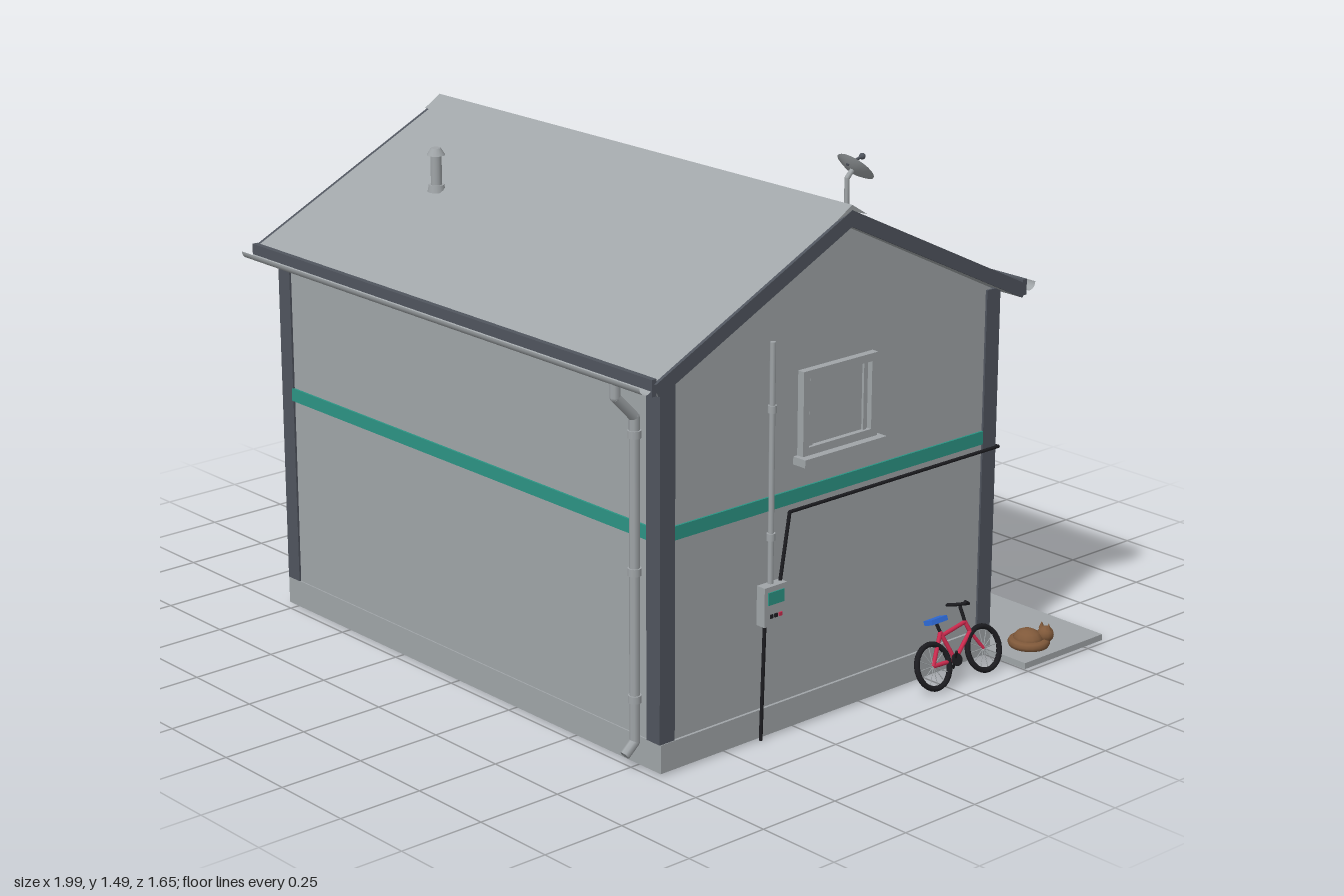
import * as THREE from 'three';

const mat = (name, color) => { const m = new THREE.MeshStandardMaterial({ color, side: THREE.DoubleSide }); m.name = name; return m; };
const GRAY = mat('paleGray', 0xa0a5a8), SLATE = mat('slate', 0x50555e), TEAL = mat('teal', 0x2c9484),
  YELLOW = mat('yellow', 0xe0a81e), NAVY = mat('navy', 0x323a66), BLUE = mat('blue', 0x2f6bd8),
  RED = mat('crimson', 0xcc2a4e), BROWN = mat('brown', 0x80593a), BLACK = mat('black', 0x1c1c20),
  GREEN = mat('leafGreen', 0x3f8048);
const RAINBOW = [RED, YELLOW, TEAL, BLUE];
const V = (x, y, z) => new THREE.Vector3(x, y, z);

function add(parent, name, geo, m, x = 0, y = 0, z = 0) {
  const mesh = new THREE.Mesh(geo, m);
  mesh.name = name;
  mesh.position.set(x, y, z);
  parent.add(mesh);
  return mesh;
}
// box given by its limits on each axis
const box = (p, name, m, x0, x1, y0, y1, z0, z1) =>
  add(p, name, new THREE.BoxGeometry(x1 - x0, y1 - y0, z1 - z0), m, (x0 + x1) / 2, (y0 + y1) / 2, (z0 + z1) / 2);
const ball = (p, name, m, r, x, y, z, sx = 1, sy = 1, sz = 1) => {
  const b = add(p, name, new THREE.SphereGeometry(r, 12, 8), m, x, y, z);
  b.scale.set(sx, sy, sz);
  return b;
};
const cyl = (p, name, m, rt, rb, h, x, y, z, n = 14) => add(p, name, new THREE.CylinderGeometry(rt, rb, h, n), m, x, y, z);
// round pipe through corner points
function pipe(p, name, m, r, pts) {
  const path = new THREE.CurvePath();
  for (let i = 1; i < pts.length; i++) path.add(new THREE.LineCurve3(V(...pts[i - 1]), V(...pts[i])));
  for (let i = 1; i < pts.length; i++) {
    const a = V(...pts[i - 1]), b = V(...pts[i]);
    const c = add(p, name, new THREE.CylinderGeometry(r, r, a.distanceTo(b), 8), m);
    c.position.copy(a).lerp(b, 0.5);
    c.quaternion.setFromUnitVectors(V(0, 1, 0), b.sub(a).normalize());
    if (i > 1) add(p, name + 'Joint', new THREE.SphereGeometry(r, 8, 6), m, a.x, a.y, a.z);
  }
}
const group = (p, name, x = 0, y = 0, z = 0, ry = 0) => {
  const g = new THREE.Group();
  g.name = name; g.position.set(x, y, z); g.rotation.y = ry;
  p.add(g);
  return g;
};
// (z, y) profile extruded along x between x0 and x1
function prism(p, name, m, pts, x0, x1) {
  const geo = new THREE.ExtrudeGeometry(new THREE.Shape(pts.map(q => new THREE.Vector2(...q))), { depth: x1 - x0, bevelEnabled: false });
  geo.rotateY(-Math.PI / 2);
  return add(p, name, geo, m, x1, 0, 0);
}
// framed window facing local +z, bottom centre at the origin
function windowUnit(p, name, w, h, mullion) {
  const f = 0.022, g = p;
  box(g, name + 'Pane', GRAY, -w / 2, w / 2, 0, h, 0, 0.006);
  for (const s of [-1, 1]) {
    box(g, name + 'Jamb', GRAY, s * w / 2 - f / 2, s * w / 2 + f / 2, 0, h, 0, 0.022);
    box(g, name + 'SashSide', GRAY, s * (w / 2 - 0.026) - 0.006, s * (w / 2 - 0.026) + 0.006, 0.02, h - 0.02, 0, 0.013);
  }
  for (const y of [0, h - f]) box(g, name + 'Rail', GRAY, -w / 2, w / 2, y, y + f, 0, 0.022);
  if (mullion) box(g, name + 'Mullion', GRAY, -0.01, 0.01, 0, h, 0, 0.018);
  box(g, name + 'Sill', GRAY, -w / 2 - 0.025, w / 2 + 0.025, -0.022, 0, 0, 0.045);
}

function buildHouse(root) {
  const g = group(root, 'house');
  const X0 = -0.775, X1 = 0.835, ZB = -0.505, ZF = 0.725, ZR = 0.11;
  prism(g, 'walls', GRAY, [[ZB, 0.01], [ZF, 0.01], [ZF, 1.07], [ZR, 1.37], [ZB, 1.07]], X0, X1);
  box(g, 'plinth', GRAY, X0 - 0.008, X1 + 0.008, 0.01, 0.09, ZB - 0.008, ZF + 0.004);
  for (const x of [X0 + 0.02, X1 - 0.02]) for (const z of [ZB + 0.02, ZF - 0.02])
    box(g, 'cornerPost', SLATE, x - 0.026, x + 0.026, 0.09, 1.08, z - 0.026, z + 0.026);
  box(g, 'tealBand', TEAL, X0 + 0.04, X1 - 0.04, 0.64, 0.678, ZB - 0.006, ZF + 0.006);
  box(g, 'tealBandSide', TEAL, X0 - 0.006, X1 + 0.006, 0.64, 0.678, ZB + 0.04, ZF - 0.04);
  box(g, 'eaveBand', TEAL, X0 + 0.04, X1 - 0.04, 1.03, 1.06, ZB - 0.006, ZB + 0.01);
  // roof with dark verge boards
  const chevron = [[0.785, 1.088], [ZR, 1.414], [-0.565, 1.088], [-0.55, 1.052], [ZR, 1.37], [0.77, 1.052]];
  prism(g, 'roof', GRAY, chevron, -0.812, 0.877);
  for (const x of [-0.822, 0.877]) prism(g, 'vergeBoard', SLATE, chevron, x, x + 0.01);
  prism(g, 'ridgeCap', GRAY, [[0.165, 1.394], [ZR, 1.428], [0.055, 1.394], [ZR, 1.41]], -0.82, 0.885);
  // gutters and fascia
  for (const s of [-1, 1]) {
    const z = ZR + s * 0.675;
    box(g, 'fascia', SLATE, -0.815, 0.88, 1.055, 1.1, z - 0.008, z + 0.008);
    const gut = add(g, 'gutter', new THREE.CylinderGeometry(0.022, 0.022, 1.69, 12, 1, true, 0, Math.PI), GRAY, 0.032, 1.085, z + s * 0.024);
    gut.rotation.set(0, 0, -Math.PI / 2);
    gut.geometry.rotateY(0);
    const x = s > 0 ? 0.76 : -0.72, w = s > 0 ? ZF : ZB;
    pipe(g, 'downpipe', GRAY, 0.014, [[x, 1.07, z + s * 0.024], [x, 1.03, z + s * 0.024], [x, 0.965, w + s * 0.02], [x, 0.08, w + s * 0.02], [x, 0.05, w + s * 0.055]]);
    for (const y of [0.2, 0.55, 0.92]) cyl(g, 'pipeCollar', GRAY, 0.018, 0.018, 0.02, x, y, w + s * 0.02);
  }
  // windows
  windowUnit(group(g, 'gableWindow', X1, 0.768, ZR, Math.PI / 2), 'gableWindow', 0.25, 0.232, false);
  windowUnit(group(g, 'sideWindow', X0, 0.23, 0.24, -Math.PI / 2), 'sideWindow', 0.4, 0.33, true);
  windowUnit(group(g, 'lowerWindow', -0.42, 0.2, ZB, Math.PI), 'lowerWindow', 0.54, 0.38, true);
  const up = group(g, 'upperWindow', -0.08, 0.755, ZB, Math.PI);
  windowUnit(up, 'upperWindow', 0.38, 0.28, false);
  for (let i = 0; i < 11; i++) {
    const d = cyl(up, 'windowSticker', RAINBOW[i % 4], 0.009, 0.009, 0.003, -0.13 + (i * 0.107) % 0.27, 0.06 + (i * 0.067) % 0.17, 0.008, 6);
    d.rotation.x = Math.PI / 2;
  }
  // door
  const d = group(g, 'door', 0.17, 0.04, ZB, Math.PI);
  box(d, 'doorLeaf', YELLOW, -0.165, 0.165, 0, 0.55, 0, 0.018);
  for (const s of [-1, 1]) box(d, 'doorJamb', SLATE, s * 0.18 - 0.016, s * 0.18 + 0.016, 0, 0.58, 0, 0.026);
  box(d, 'doorHead', SLATE, -0.196, 0.196, 0.55, 0.58, 0, 0.026);
  for (const y of [0.1, 0.45]) box(d, 'hinge', SLATE, -0.165, -0.13, y, y + 0.025, 0.018, 0.024);
  box(d, 'doorHandle', SLATE, 0.09, 0.145, 0.27, 0.282, 0.018, 0.04);
  box(d, 'letterSlot', SLATE, -0.045, 0.045, 0.2, 0.222, 0.018, 0.024);
  ball(d, 'peephole', BLACK, 0.01, 0, 0.42, 0.02);
  // doorplate, tap and wall lamp
  box(g, 'doorplate', NAVY, 0.43, 0.515, 0.43, 0.52, ZB - 0.01, ZB);
  box(g, 'doorplateMark', GRAY, 0.45, 0.47, 0.45, 0.5, ZB - 0.013, ZB - 0.01);
  box(g, 'doorplateMark', GRAY, 0.48, 0.495, 0.46, 0.49, ZB - 0.013, ZB - 0.01);
  pipe(g, 'tap', GRAY, 0.007, [[0.72, 0.24, ZB], [0.72, 0.24, -0.525], [0.62, 0.24, -0.525], [0.62, 0.24, -0.55], [0.62, 0.19, -0.55]]);
  pipe(g, 'lampArm', BLACK, 0.005, [[0.19, 0.62, ZB], [0.19, 0.625, -0.54]]);
  cyl(g, 'lampShade', BLACK, 0.012, 0.034, 0.03, 0.19, 0.605, -0.54);
  // meter, conduit and cable
  box(g, 'meterBox', GRAY, X1, X1 + 0.03, 0.33, 0.44, 0.306, 0.386);
  box(g, 'meterScreen', TEAL, X1 + 0.03, X1 + 0.034, 0.39, 0.425, 0.318, 0.374);
  for (const z of [0.33, 0.346, 0.362]) box(g, 'meterButton', z > 0.34 ? BLACK : RED, X1 + 0.03, X1 + 0.034, 0.352, 0.362, z - 0.005, z + 0.005);
  pipe(g, 'conduit', GRAY, 0.008, [[X1 + 0.01, 0.44, 0.347], [X1 + 0.01, 1.1, 0.347]]);
  for (const y of [0.57, 0.92]) cyl(g, 'conduitCollar', GRAY, 0.012, 0.012, 0.02, X1 + 0.01, y, 0.347);
  pipe(g, 'cableUp', BLACK, 0.005, [[X1 + 0.01, 0.42, 0.315], [X1 + 0.01, 0.622, 0.28], [X1 + 0.01, 0.622, ZB - 0.012], [0.19, 0.622, ZB - 0.012]]);
  pipe(g, 'cableDown', BLACK, 0.005, [[X1 + 0.014, 0.33, 0.37], [X1 + 0.014, 0.005, 0.38]]);
}

function buildRoofItems(root) {
  // local -z runs down the back slope from the ridge
  const g = group(root, 'backSlopeItems', 0, 1.412, 0.11);
  g.rotation.x = -0.451;
  box(g, 'solarPanel', NAVY, -0.64, -0.14, 0.025, 0.037, -0.67, -0.355);
  for (const z of [-0.62, -0.41]) box(g, 'panelRail', GRAY, -0.63, -0.15, 0, 0.025, z - 0.008, z + 0.008);
  box(g, 'panelGridMid', SLATE, -0.392, -0.388, 0.037, 0.038, -0.67, -0.355);
  for (const x of [0.29, 0.44]) box(g, 'skylightSide', SLATE, x - 0.012, x + 0.012, 0, 0.04, -0.53, -0.38);
  for (const z of [-0.52, -0.39]) box(g, 'skylightEnd', SLATE, 0.28, 0.45, 0, 0.04, z - 0.012, z + 0.012);
  box(g, 'skylightGlass', GRAY, 0.3, 0.43, 0, 0.015, -0.51, -0.4);
  box(g, 'skylightShutter', GRAY, 0.268, 0.458, 0.022, 0.032, -0.375, -0.215);
  // flue on the front slope
  cyl(root, 'flue', GRAY, 0.016, 0.016, 0.13, -0.445, 1.3, 0.42);
  cyl(root, 'flueCap', GRAY, 0.014, 0.026, 0.02, -0.445, 1.375, 0.42);
  cyl(root, 'flueCollar', GRAY, 0.022, 0.026, 0.02, -0.445, 1.27, 0.42);
  // satellite dish
  pipe(root, 'dishMast', GRAY, 0.007, [[0.685, 1.31, -0.07], [0.685, 1.43, -0.07], [0.685, 1.45, -0.09]]);
  const dish = group(root, 'dish', 0.685, 1.445, -0.09);
  dish.rotation.x = -Math.PI / 4;
  add(dish, 'dishBowl', new THREE.LatheGeometry([[0, 0], [0.03, 0.004], [0.056, 0.016]].map(q => new THREE.Vector2(...q)), 24), GRAY);
  pipe(dish, 'dishArm', SLATE, 0.004, [[0, 0, 0.03], [0, 0.05, 0]]);
  ball(dish, 'dishReceiver', SLATE, 0.009, 0, 0.05, 0);
}

function buildClothesline(root) {
  const g = group(root, 'clothesline', -0.93);
  for (const z of [-0.36, 0.56]) {
    box(g, 'postFoot', GRAY, -0.03, 0.03, 0.01, 0.03, z - 0.026, z + 0.026);
    cyl(g, 'linePost', TEAL, 0.01, 0.01, 0.64, 0, 0.345, z);
    box(g, 'crossBar', TEAL, -0.064, 0.064, 0.66, 0.676, z - 0.008, z + 0.008);
    for (const s of [-1, 1]) pipe(g, 'brace', TEAL, 0.005, [[0, 0.6, z], [s * 0.045, 0.66, z]]);
  }
  for (const x of [-0.055, 0.045]) pipe(g, 'line', BLACK, 0.003, [[x, 0.675, -0.36], [x, 0.645, 0.1], [x, 0.675, 0.56]]);
  // shirts and trousers
  const garment = (name, m, x, z, w, h, shirt) => {
    const y = 0.652;
    if (shirt) {
      box(g, name, m, x - 0.005, x + 0.005, y - h, y, z - w * 0.3, z + w * 0.3);
      box(g, name + 'Sleeves', m, x - 0.006, x + 0.006, y - h * 0.38, y - 0.005, z - w / 2, z + w / 2);
    } else {
      box(g, name + 'Waist', m, x - 0.005, x + 0.005, y - h * 0.35, y, z - w / 2, z + w / 2);
      for (const s of [-1, 1]) box(g, name + 'Leg', m, x - 0.006, x + 0.006, y - h, y - h * 0.3, z + s * w * 0.29 - w * 0.2, z + s * w * 0.29 + w * 0.2);
    }
  };
  garment('redShirt', RED, -0.055, -0.18, 0.14, 0.15, true);
  garment('navyTrousers', NAVY, -0.055, 0.05, 0.1, 0.18, false);
  garment('navyShirt', NAVY, 0.045, 0.24, 0.13, 0.15, true);
  garment('brownTrousers', BROWN, 0.045, 0.45, 0.1, 0.18, false);
}

function buildBicycle(root) {
  const g = group(root, 'bicycle', 0.945, 0.014, 0);
  g.rotation.z = 0.36;
  const hubs = [-0.2, -0.4], Y = 0.068;
  for (const z of hubs) {
    const t = add(g, 'tyre', new THREE.TorusGeometry(0.061, 0.008, 8, 28), BLACK, 0, Y, z);
    t.rotation.y = Math.PI / 2;
    for (let i = 0; i < 6; i++) {
      const a = i * Math.PI / 6, c = Math.cos(a) * 0.058, s = Math.sin(a) * 0.058;
      pipe(g, 'spoke', GRAY, 0.0012, [[0, Y + s, z + c], [0, Y - s, z - c]]);
    }
  }
  const crank = [0, 0.065, -0.285], seat = [0, 0.15, -0.255], head = [0, 0.155, -0.355], low = [0, 0.125, -0.365];
  pipe(g, 'frame', RED, 0.006, [[0, Y, -0.2], crank, seat, [0, Y, -0.2]]);
  pipe(g, 'frame', RED, 0.006, [crank, low, head, [0, 0.14, -0.258]]);
  pipe(g, 'fork', RED, 0.005, [low, [0, Y, -0.4]]);
  pipe(g, 'seatPost', BLACK, 0.005, [seat, [0, 0.18, -0.248]]);
  box(g, 'saddle', BLUE, -0.016, 0.016, 0.178, 0.192, -0.28, -0.218);
  pipe(g, 'handlebarStem', BLACK, 0.005, [head, [0, 0.2, -0.35]]);
  pipe(g, 'handlebar', BLACK, 0.005, [[-0.05, 0.215, -0.325], [-0.03, 0.205, -0.355], [0.03, 0.205, -0.355], [0.05, 0.215, -0.325]]);
  cyl(g, 'chainring', BLACK, 0.018, 0.018, 0.006, 0.008, 0.065, -0.285).rotation.z = Math.PI / 2;
  pipe(g, 'pedals', BLACK, 0.004, [[-0.03, 0.04, -0.3], [0, 0.065, -0.285], [0.03, 0.09, -0.27]]);
}

function buildYard(root) {
  const g = group(root, 'yard');
  box(g, 'patio', GRAY, -0.855, 0.992, 0.01, 0.028, -0.818, -0.495);
  box(g, 'doorStep', GRAY, -0.04, 0.38, 0.028, 0.045, -0.66, -0.505);
  for (let i = 0; i < 6; i++) box(g, 'doormatStripe', RAINBOW[i % 4], 0.02 + i * 0.05, 0.07 + i * 0.05, 0.045, 0.052, -0.64, -0.555);
  // letterbox on a post
  cyl(g, 'letterboxPost', TEAL, 0.01, 0.01, 0.24, -0.755, 0.145, -0.745);
  box(g, 'letterboxFoot', TEAL, -0.78, -0.73, 0.028, 0.036, -0.77, -0.72);
  for (let i = 0; i < 6; i++)
    for (let k = 0; k < 4; k++) {
      const c = add(g, 'letterboxPatch', new THREE.CylinderGeometry(0.036, 0.036, 0.0225, 6, 1, false, k * Math.PI / 2, Math.PI / 2), RAINBOW[(i + k) % 4], -0.755, 0.295, -0.692 - i * 0.0225);
      c.rotation.x = Math.PI / 2;
    }
  // planter with flowers
  for (const z of [-0.645, -0.535]) box(g, 'planterSide', BROWN, -0.69, -0.15, 0.03, 0.125, z - 0.007, z + 0.007);
  for (const x of [-0.683, -0.157]) box(g, 'planterEnd', BROWN, x - 0.007, x + 0.007, 0.03, 0.125, -0.645, -0.535);
  box(g, 'soil', BROWN, -0.68, -0.16, 0.03, 0.105, -0.64, -0.54);
  for (let i = 0; i < 9; i++) {
    const x = -0.64 + i * 0.055, z = -0.59 + (i % 2 ? 0.02 : -0.02);
    cyl(g, 'leafTuft', GREEN, 0, 0.02, 0.045, x, 0.125, z, 6);
    ball(g, 'flower', RAINBOW[i % 3], 0.01, x, 0.15, z);
  }
  // sill pots
  [[-0.24, RED], [-0.37, TEAL]].forEach(([x, m], i) => {
    cyl(g, 'sillPot', m, 0.026, 0.018, 0.045, x, 0.223, -0.528);
    cyl(g, 'sillPotRim', m, 0.029, 0.029, 0.01, x, 0.247, -0.528);
    for (let k = 0; k < 5; k++) {
      const a = k * 1.257;
      pipe(g, 'sillPlant', GREEN, 0.004, [[x, 0.245, -0.528], [x + Math.cos(a) * 0.02, 0.29 - i * 0.02, -0.528 + Math.sin(a) * 0.02]]);
    }
  });
  // toy crate
  box(g, 'toyCrate', BLUE, 0.44, 0.66, 0.03, 0.11, -0.615, -0.52);
  box(g, 'crateRim', BLUE, 0.432, 0.668, 0.1, 0.115, -0.622, -0.513);
  box(g, 'crateFill', BROWN, 0.455, 0.645, 0.112, 0.118, -0.605, -0.53);
  box(g, 'crateStripe', YELLOW, 0.668, 0.671, 0.05, 0.066, -0.6, -0.54).rotation.x = 0.7;
  pipe(g, 'toyBat', YELLOW, 0.009, [[0.6, 0.1, -0.57], [0.64, 0.19, -0.55]]);
  ball(g, 'toyBall', RED, 0.024, 0.53, 0.125, -0.57);
  ball(g, 'toyBallSmall', TEAL, 0.018, 0.48, 0.122, -0.56);
  // sleeping pet in its bed
  add(g, 'petBed', new THREE.TorusGeometry(0.046, 0.014, 8, 20), BROWN, 0.91, 0.04, -0.6).rotation.x = Math.PI / 2;
  ball(g, 'petBody', BROWN, 0.045, 0.91, 0.048, -0.595, 1, 0.72, 0.9);
  ball(g, 'petHead', BROWN, 0.024, 0.94, 0.062, -0.635);
  for (const s of [-1, 1]) cyl(g, 'petEar', BROWN, 0, 0.009, 0.02, 0.94 + s * 0.013, 0.088, -0.633, 6);
}

export function createModel() {
  const root = new THREE.Group();
  root.name = 'gabledHouse';
  buildHouse(root);
  buildRoofItems(root);
  buildClothesline(root);
  buildBicycle(root);
  buildYard(root);
  return root;
}
